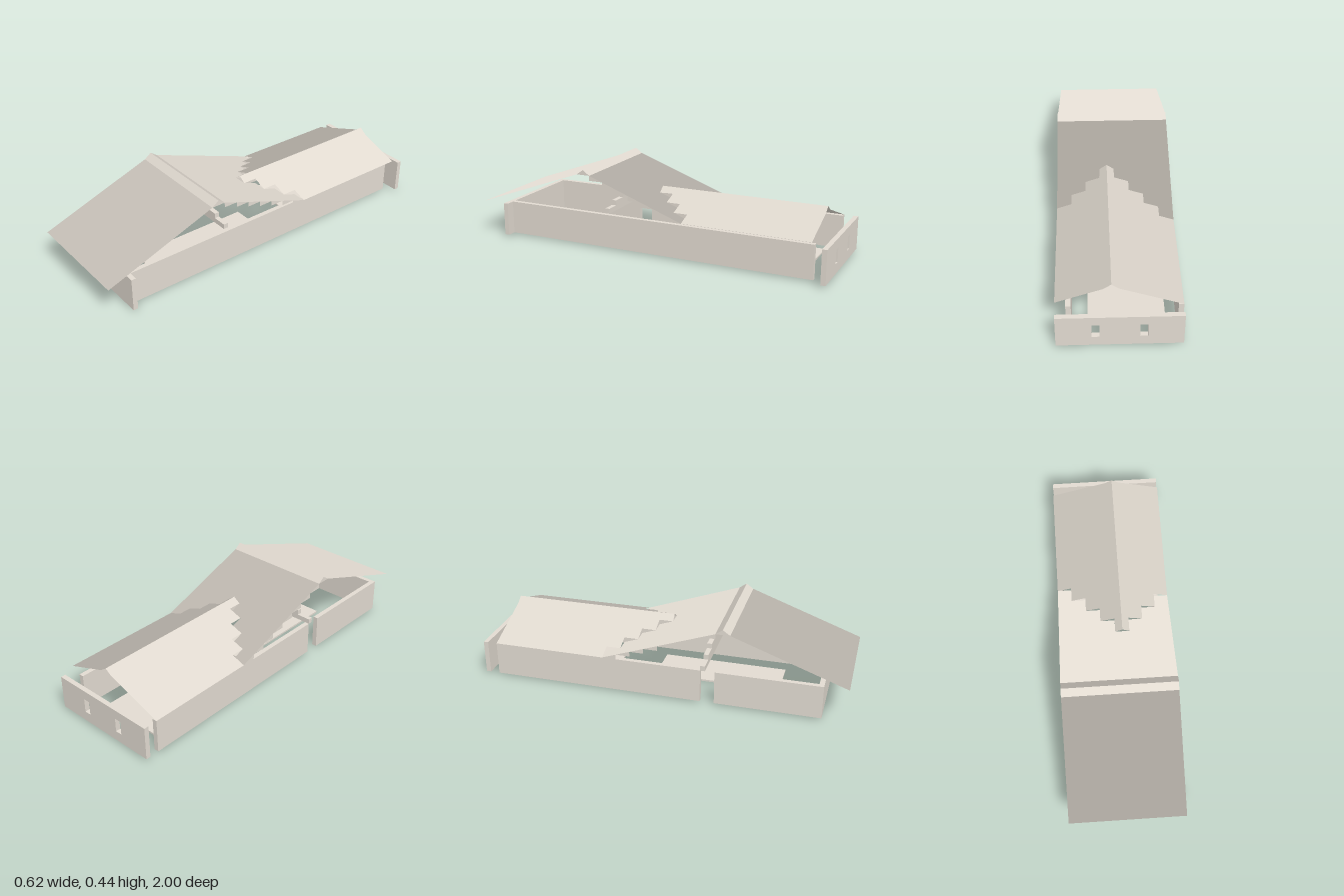
import * as THREE from 'three';

const U = 1 / 13;                 // planning grid cell
const W = 4 * U;                  // half width of the house
const T = 0.026;                  // wall thickness
const Y0 = 0.01, EAVE = 0.194;    // wall bottom and top
const RISE = 0.0277;              // roof rise per cell
const D = Math.SQRT1_2;           // 45 degree normal component

const solid = new THREE.MeshStandardMaterial({ color: 0xe2dbd1 });
const thin = new THREE.MeshStandardMaterial({ color: 0xe2dbd1, side: THREE.DoubleSide });

export function createModel() {
  const house = new THREE.Group();
  house.name = 'house';

  const add = (parent, name, geometry, material = solid) => {
    const mesh = new THREE.Mesh(geometry, material);
    mesh.name = name;
    parent.add(mesh);
    return mesh;
  };
  const group = (name) => {
    const g = new THREE.Group();
    g.name = name;
    house.add(g);
    return g;
  };
  // Box given by its limits on each axis
  const box = (parent, name, x0, x1, y0, y1, z0, z1) =>
    add(parent, name, new THREE.BoxGeometry(x1 - x0, y1 - y0, z1 - z0))
      .position.set((x0 + x1) / 2, (y0 + y1) / 2, (z0 + z1) / 2);
  // Thin four-cornered roof sheet, shaded with one given normal
  const sheet = (parent, name, normal, a, b, c, d) => {
    const g = new THREE.BufferGeometry();
    g.setAttribute('position', new THREE.Float32BufferAttribute([...a, ...b, ...c, ...d], 3));
    g.setAttribute('normal', new THREE.Float32BufferAttribute([...normal, ...normal, ...normal, ...normal], 3));
    g.setIndex([0, 1, 2, 0, 2, 3]);
    add(parent, name, g, thin);
  };
  const toFront = [0, D, D], toBack = [0, D, -D], toLeft = [D, D, 0], toRight = [-D, D, 0];

  // Walls: the left one is set in, the right one has a doorway
  const walls = group('walls');
  const front = 11 * U;
  box(walls, 'leftWall', 3 * U, 3 * U + T, Y0, EAVE, -12 * U, front);
  box(walls, 'rightWallRear', -W, -W + T, Y0, EAVE, -12 * U, 3 * U);
  box(walls, 'rightWallFront', -W, -W + T, Y0, EAVE, 4 * U, front);
  box(walls, 'frontWall', -W, W, Y0, EAVE, front, front + T);

  // Detached rear wall with two windows
  const rear = new THREE.Shape();
  rear.moveTo(-W, Y0).lineTo(W, Y0).lineTo(W, EAVE).lineTo(-W, EAVE).closePath();
  for (const x of [-1.5 * U, 1.5 * U]) {
    const hole = new THREE.Path();
    hole.moveTo(x - 0.019, 0.065).lineTo(x - 0.019, 0.142).lineTo(x + 0.019, 0.142).lineTo(x + 0.019, 0.065).closePath();
    rear.holes.push(hole);
  }
  add(walls, 'rearWall', new THREE.ExtrudeGeometry(rear, { depth: T, bevelEnabled: false })).position.z = -1;

  // Floor slabs
  const floors = group('floors');
  box(floors, 'frontFloor', -U, 2 * U, 0, Y0, -U, 8 * U);
  box(floors, 'rearFloor', -3 * U, 2 * U, 0, Y0, -11 * U, -4 * U);

  // Stepped inner gable
  const gable = group('innerGable');
  for (let k = 0; k < 4; k++) {
    box(gable, 'gableStep', (k - 4) * U, (3 - k) * U, EAVE + k * RISE, EAVE + (k + 1) * RISE, 3 * U, 3 * U + T);
  }

  // Front roof: plain front slope and a ridge cap
  const roof = group('frontRoof');
  const top = EAVE + 8 * RISE, peak = top + RISE;
  sheet(roof, 'frontSlope', toBack, [-W, EAVE, 1], [W, EAVE, 1], [W, top, 5 * U], [-W, top, 5 * U]);
  sheet(roof, 'capFront', toFront, [-W, top, 5 * U], [W, top, 5 * U], [W, peak, 4.5 * U], [-W, peak, 4.5 * U]);
  sheet(roof, 'capBack', toBack, [W, top, 4 * U], [-W, top, 4 * U], [-W, peak, 4.5 * U], [W, peak, 4.5 * U]);
  const capEnd = new THREE.Shape();
  capEnd.moveTo(-5 * U, top).lineTo(-4 * U, top).lineTo(-4.5 * U, peak).closePath();
  for (const x of [-W, W]) {
    add(roof, 'capEnd', new THREE.ShapeGeometry(capEnd).rotateY(Math.PI / 2), thin).position.x = x;
  }

  // Rear slope in columns that stop where the rear roof begins
  const cells = [8, 7, 6, 5, 4, 5, 6, 7];
  cells.forEach((n, i) => {
    const x = i * U - W, y = top - n * RISE, z = (4 - n) * U;
    sheet(roof, 'rearSlope', toFront, [x + U, y, z], [x, y, z], [x, top, 4 * U], [x + U, top, 4 * U]);
  });
  // Sawtooth webs under the columns
  for (let b = 0; b <= 8; b++) {
    const n = Math.max(cells[b - 1] ?? 0, cells[b] ?? 0);
    const teeth = [];
    for (let k = 0; k < n; k++) {
      const s = (k - 4) * U, y = top - k * RISE;
      teeth.push(new THREE.Shape([
        new THREE.Vector2(s, y), new THREE.Vector2(s, y - RISE), new THREE.Vector2(s + U, y - RISE)]));
    }
    add(roof, 'slopeTeeth', new THREE.ShapeGeometry(teeth).rotateY(Math.PI / 2), thin).position.x = b * U - W;
  }

  // Rear roof: strips either side of an off-centre ridge
  const back = group('rearRoof');
  const base = EAVE + 4 * RISE, end = -12 * U;
  const strip = (name, normal, xa, ya, xb, yb, z) =>
    sheet(back, name, normal, [xa, ya, z], [xb, yb, z], [xb, yb, end], [xa, ya, end]);
  cells.forEach((n, i) => {
    const x = i * U - W, z = (4 - n) * U;
    if (i === 4) {
      strip('ridgeRight', toRight, x, base, x + U / 2, base + RISE, z);
      strip('ridgeLeft', toLeft, x + U / 2, base + RISE, x + U, base, z);
    } else if (i < 4) {
      strip('rightSlope', toRight, x, EAVE + i * RISE, x + U, EAVE + (i + 1) * RISE, z);
    } else {
      strip('leftSlope', toLeft, x, base - (i - 5) * RISE, x + U, base - (i - 4) * RISE, z);
    }
  });

  return house;
}
